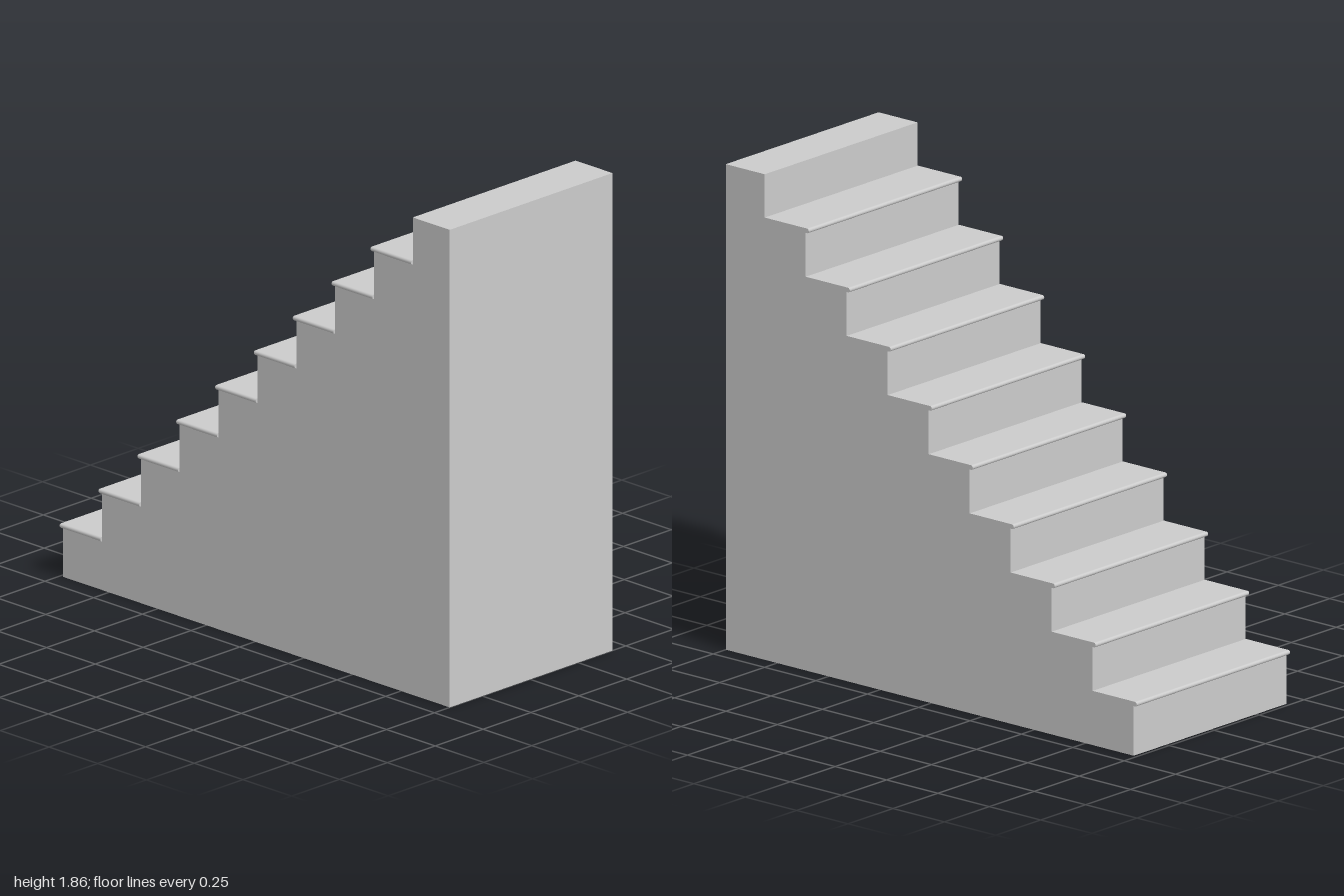
import * as THREE from 'three';

const STEPS = 10, RUN = 0.1995, RISE = 0.186;
const X0 = -0.985, BACK = -0.43, FRONT = 0.42;
const R = 0.009;              // half the tread thickness
const TREAD_Y = 0.199;        // centre height of the lowest tread
const OVERHANG = 0.015;

export function createModel() {
  const group = new THREE.Group();
  const material = new THREE.MeshStandardMaterial({ color: 0xcccccc });
  const add = (parent, geometry, name) => {
    const mesh = new THREE.Mesh(geometry, material);
    mesh.name = name;
    parent.add(mesh);
    return mesh;
  };

  // Solid staircase body: stepped outline extruded across its width
  const outline = new THREE.Shape();
  outline.moveTo(X0, 0);
  for (let i = 0; i < STEPS; i++) {
    const last = i === STEPS - 1;
    const y = last ? 1.862 : TREAD_Y + i * RISE;
    outline.lineTo(X0 + i * RUN, y);
    outline.lineTo(last ? 1 : X0 + (i + 1) * RUN, y);
  }
  outline.lineTo(1, 0);
  const body = new THREE.ExtrudeGeometry(outline, { depth: FRONT - BACK, bevelEnabled: false });
  add(group, body, 'staircaseBody').position.z = BACK;

  // Tread slab with a rounded nose along its leading edge
  const noseX = -OVERHANG + R, length = RUN - noseX;
  const profile = new THREE.Shape();
  profile.moveTo(RUN, -R);
  profile.lineTo(RUN, R);
  profile.lineTo(noseX, R);
  profile.absarc(noseX, 0, R, Math.PI / 2, Math.PI * 1.5, false);
  const slab = new THREE.ExtrudeGeometry(profile, { depth: FRONT - BACK, bevelEnabled: false, curveSegments: 8 });
  // Rounded side edge and the ball that joins it to the nose
  const edge = new THREE.CylinderGeometry(R, R, length, 16).rotateZ(Math.PI / 2);
  const corner = new THREE.SphereGeometry(R, 16, 12);

  for (let i = 0; i < STEPS - 1; i++) {
    const tread = new THREE.Group();
    tread.name = `tread${i + 1}`;
    tread.position.set(X0 + i * RUN, TREAD_Y + i * RISE, 0);
    add(tread, slab, 'treadSlab').position.z = BACK;
    add(tread, edge, 'treadSideEdge').position.set(noseX + length / 2, 0, FRONT);
    add(tread, corner, 'treadCorner').position.set(noseX, 0, FRONT);
    group.add(tread);
  }
  return group;
}
